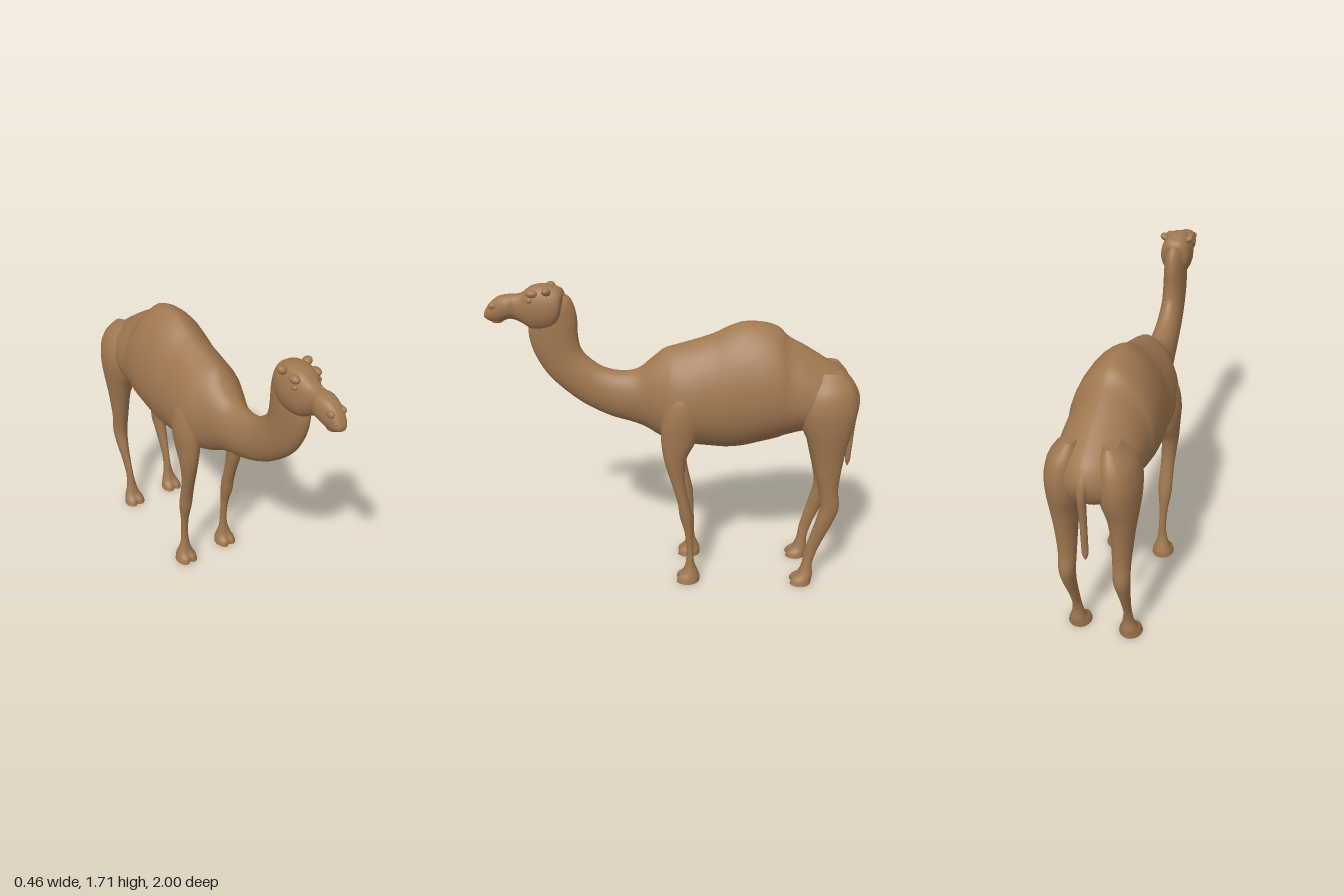
import * as THREE from 'three';

const coat = new THREE.MeshStandardMaterial({ color: 0xa0774f });
coat.name = 'tan coat';

// Smoothly resample rows of section parameters
function resample(rows, steps) {
  const out = [];
  const at = i => rows[Math.max(0, Math.min(rows.length - 1, i))];
  for (let i = 0; i < rows.length - 1; i++) {
    for (let s = 0; s < steps; s++) {
      const t = s / steps;
      out.push(rows[i].map((b, k) => {
        const a = at(i - 1)[k], c = at(i + 1)[k], d = at(i + 2)[k];
        return b + 0.5 * t * (c - a + t * (2 * a - 5 * b + 4 * c - d + t * (3 * (b - c) + d - a)));
      }));
    }
  }
  out.push(rows[rows.length - 1]);
  return out;
}

// Skin closed rings of [x, y, z] points, with a flat cap at each end
function loft(rings) {
  const n = rings[0].length, pos = [], idx = [];
  rings.forEach(r => r.forEach(p => pos.push(...p)));
  for (let i = 0; i < rings.length - 1; i++) {
    for (let j = 0; j < n; j++) {
      const a = i * n + j, b = i * n + (j + 1) % n;
      idx.push(a, b, b + n, a, b + n, a + n);
    }
  }
  [rings[0], rings[rings.length - 1]].forEach((r, end) => {
    const base = pos.length / 3;
    r.forEach(p => pos.push(...p));
    pos.push(...[0, 1, 2].map(k => r.reduce((sum, p) => sum + p[k], 0) / n));
    for (let j = 0; j < n; j++) {
      const a = base + j, b = base + (j + 1) % n;
      idx.push(base + n, end ? a : b, end ? b : a);
    }
  });
  // Turn the faces outward, whichever way the rings run
  const v = i => new THREE.Vector3().fromArray(pos, i * 3);
  let volume = 0;
  for (let i = 0; i < idx.length; i += 3) volume += v(idx[i]).dot(v(idx[i + 1]).cross(v(idx[i + 2])));
  if (volume < 0) idx.reverse();
  const g = new THREE.BufferGeometry();
  g.setAttribute('position', new THREE.Float32BufferAttribute(pos, 3));
  g.setIndex(idx);
  g.computeVertexNormals();
  return g;
}

// Sections: [topZ, topY, bottomZ, bottomY, halfWidth, height of widest point 0..1, upper taper]
function spineLoft(rows, n = 36) {
  return loft(resample(rows, 4).map(([tz, ty, bz, by, w, f, p]) =>
    Array.from({ length: n }, (_, j) => {
      const a = (j / n) * Math.PI * 2, s = Math.sin(a), c = Math.cos(a);
      const u = s > 0 ? f + (1 - f) * s : f + f * s;
      const x = w * Math.sign(c) * Math.pow(Math.abs(c), s > 0 ? p : 1);
      return [x, by + (ty - by) * u, bz + (tz - bz) * u];
    })));
}

// Upright limbs: [y, frontZ, backZ, innerX, outerX, depth of the cleft between toes]
function limbLoft(rows, side = 1, n = 24) {
  return loft(resample(rows, 4).map(([y, zf, zb, xi, xo, cleft = 0]) =>
    Array.from({ length: n }, (_, j) => {
      const a = (j / n) * Math.PI * 2, c = Math.cos(a), s = Math.sin(a);
      const dent = s > 0 ? cleft * Math.exp(-c * c * 14) : 0;
      return [side * ((xi + xo) / 2 + c * (xo - xi) / 2), y, (zf + zb) / 2 + s * (zf - zb) / 2 - dent];
    })));
}

export function createModel() {
  const model = new THREE.Group();
  model.name = 'camel';
  const add = (name, geometry) => {
    const mesh = new THREE.Mesh(geometry, coat);
    mesh.name = name;
    model.add(mesh);
    return mesh;
  };
  const blob = (name, x, y, z, rx, ry, rz) => {
    const mesh = add(name, new THREE.SphereGeometry(1, 16, 12));
    mesh.position.set(x, y, z);
    mesh.scale.set(rx, ry, rz);
    return mesh;
  };

  // Rump, hump, belly and chest, flowing into the curved neck
  const trunk = [
    [-0.985, 1.12, -0.965, 1.05, 0.02], [-0.97, 1.17, -0.93, 1.0, 0.09],
    [-0.93, 1.23, -0.87, 0.96, 0.155], [-0.85, 1.29, -0.8, 0.935, 0.195],
    [-0.7, 1.385, -0.7, 0.925, 0.205], [-0.6, 1.44, -0.6, 0.895, 0.21],
    [-0.54, 1.495, -0.55, 0.875, 0.22], [-0.46, 1.52, -0.46, 0.85, 0.225],
    [-0.36, 1.522, -0.37, 0.825, 0.22], [-0.28, 1.495, -0.28, 0.815, 0.213],
    [-0.2, 1.455, -0.2, 0.82, 0.205], [-0.1, 1.42, -0.1, 0.83, 0.205],
    [0, 1.39, 0, 0.85, 0.195], [0.06, 1.37, 0.08, 0.875, 0.165],
  ].map(r => [...r, 0.42, 1.25]);
  const neck = [
    [0.13, 1.31, 0.16, 0.92, 0.125], [0.2, 1.255, 0.24, 0.95, 0.1],
    [0.28, 1.24, 0.36, 0.985, 0.085], [0.37, 1.255, 0.5, 1.055, 0.073],
    [0.44, 1.295, 0.62, 1.15, 0.067], [0.5, 1.36, 0.7, 1.24, 0.063],
    [0.515, 1.45, 0.755, 1.35, 0.062], [0.515, 1.54, 0.775, 1.45, 0.06],
    [0.54, 1.63, 0.76, 1.52, 0.055], [0.6, 1.68, 0.74, 1.58, 0.03],
  ].map(r => [...r, 0.5, 1]);
  add('bodyAndNeck', spineLoft([...trunk, ...neck]));

  // Head with deep cheeks, pinched nose bridge and flared muzzle
  add('head', spineLoft([
    [0.575, 1.66, 0.59, 1.56, 0.04], [0.59, 1.685, 0.605, 1.51, 0.073],
    [0.63, 1.703, 0.65, 1.468, 0.085], [0.69, 1.71, 0.71, 1.462, 0.086],
    [0.75, 1.697, 0.755, 1.472, 0.074], [0.79, 1.667, 0.79, 1.495, 0.055],
    [0.83, 1.655, 0.83, 1.517, 0.048], [0.87, 1.653, 0.87, 1.525, 0.058],
    [0.92, 1.643, 0.92, 1.507, 0.05], [0.965, 1.61, 0.955, 1.507, 0.04],
    [0.99, 1.575, 0.98, 1.518, 0.031], [1, 1.552, 0.998, 1.53, 0.016],
  ].map(r => [...r, 0.5, 0.7])));
  blob('lowerLip', 0, 1.518, 0.935, 0.03, 0.018, 0.035);

  // Tail
  add('tail', limbLoft([
    [1.2, -0.9, -0.955, -0.03, 0.03], [1.14, -0.94, -0.988, -0.028, 0.028],
    [1.07, -0.952, -1, -0.022, 0.022], [0.95, -0.95, -0.988, -0.018, 0.018],
    [0.76, -0.95, -0.98, -0.017, 0.017], [0.72, -0.952, -0.978, -0.014, 0.014],
    [0.69, -0.963, -0.967, -0.003, 0.003],
  ], 1, 14));

  const foreleg = [
    [1.24, -0.01, -0.09, 0.08, 0.14, 0], [1.14, 0.04, -0.13, 0.07, 0.198, 0],
    [1.02, 0.07, -0.14, 0.07, 0.218, 0], [0.9, 0.072, -0.115, 0.09, 0.211, 0],
    [0.8, 0.06, -0.068, 0.105, 0.203, 0], [0.7, 0.035, -0.056, 0.11, 0.193, 0],
    [0.6, 0.005, -0.065, 0.11, 0.186, 0], [0.5, -0.02, -0.086, 0.106, 0.185, 0],
    [0.43, -0.028, -0.1, 0.11, 0.182, 0], [0.32, -0.057, -0.104, 0.12, 0.167, 0],
    [0.2, -0.07, -0.11, 0.12, 0.162, 0], [0.12, -0.066, -0.113, 0.113, 0.17, 0],
    [0.06, -0.045, -0.135, 0.1, 0.187, 0.008], [0.03, -0.012, -0.145, 0.086, 0.2, 0.02],
    [0, -0.003, -0.145, 0.08, 0.208, 0.025],
  ];
  const hindLeg = [
    [1.28, -0.75, -0.88, 0.06, 0.13, 0], [1.2, -0.68, -0.943, 0.035, 0.2, 0],
    [1.1, -0.65, -0.965, 0.03, 0.229, 0], [1, -0.67, -0.955, 0.035, 0.23, 0],
    [0.9, -0.715, -0.93, 0.065, 0.219, 0], [0.8, -0.745, -0.915, 0.083, 0.205, 0],
    [0.7, -0.77, -0.905, 0.09, 0.195, 0], [0.6, -0.795, -0.902, 0.095, 0.187, 0],
    [0.5, -0.81, -0.914, 0.1, 0.185, 0], [0.4, -0.79, -0.885, 0.112, 0.178, 0],
    [0.3, -0.765, -0.845, 0.12, 0.167, 0], [0.2, -0.742, -0.81, 0.122, 0.162, 0],
    [0.12, -0.733, -0.792, 0.112, 0.17, 0], [0.06, -0.71, -0.798, 0.1, 0.187, 0.008],
    [0.03, -0.672, -0.795, 0.086, 0.2, 0.02], [0, -0.66, -0.792, 0.08, 0.208, 0.025],
  ];

  // Paired parts
  for (const [side, label] of [[1, 'left'], [-1, 'right']]) {
    add(label + 'ForelegAndFoot', limbLoft(foreleg, side));
    add(label + 'HindLegAndFoot', limbLoft(hindLeg, side));
    const ear = blob(label + 'Ear', side * 0.07, 1.685, 0.655, 0.026, 0.02, 0.025);
    ear.rotation.z = side * 0.5;
    blob(label + 'Brow', side * 0.06, 1.672, 0.73, 0.022, 0.02, 0.032);
    blob(label + 'Eye', side * 0.068, 1.638, 0.745, 0.012, 0.013, 0.016);
    blob(label + 'Nostril', side * 0.033, 1.6, 0.945, 0.015, 0.018, 0.024);
  }
  return model;
}
